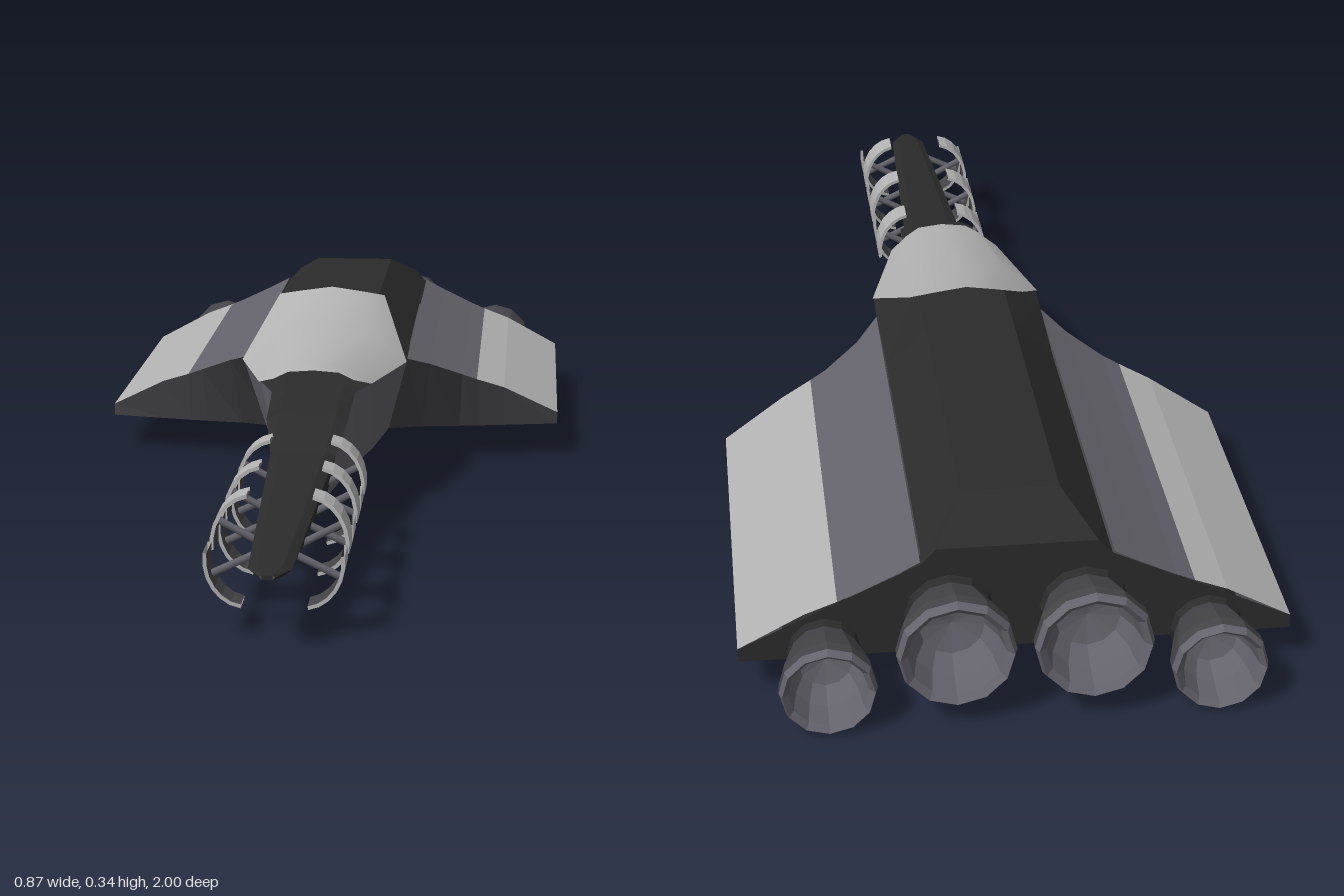
import * as THREE from 'three';
import { mergeVertices } from 'three/addons/utils/BufferGeometryUtils.js';

const mat = (name, color) => {
  const m = new THREE.MeshStandardMaterial({ color, side: THREE.DoubleSide });
  m.name = name;
  return m;
};

// Faceted skin through rows of points
const skin = (rows) => {
  const pos = [];
  for (let i = 0; i < rows.length - 1; i++) {
    for (let j = 0; j < rows[i].length - 1; j++) {
      const a = rows[i][j], b = rows[i][j + 1], c = rows[i + 1][j + 1], d = rows[i + 1][j];
      pos.push(...a, ...b, ...c, ...a, ...c, ...d);
    }
  }
  const g = new THREE.BufferGeometry();
  g.setAttribute('position', new THREE.Float32BufferAttribute(pos, 3));
  g.computeVertexNormals();
  return g;
};
const flip = (row) => row.map(([x, y, z]) => [-x, y, z]).reverse();

export function createModel() {
  const group = new THREE.Group();
  const dark = mat('charcoal', 0x2b2b2b);
  const slate = mat('slate', 0x454448);
  const violet = mat('violet grey', 0x64626b);
  const light = mat('light grey', 0xb3b3b3);

  const add = (name, geometry, material) => {
    const mesh = new THREE.Mesh(geometry, material);
    mesh.name = name;
    group.add(mesh);
    return mesh;
  };

  // One skin on each side
  const panel = (name, rows, material) => {
    add(name + 'Left', skin(rows), material);
    add(name + 'Right', skin(rows.map(flip)), material);
  };

  // Fuselage stations: z, top half width, top y, side x, side y, bottom x, bottom y, bottom z
  const hull = [
    [1.0, 0.008, 0.130, 0.012, 0.127, 0.008, 0.123, 1.0],
    [0.96, 0.020, 0.135, 0.033, 0.128, 0.020, 0.116, 0.96],
    [0.43, 0.038, 0.172, 0.055, 0.166, 0.040, 0.094, 0.43],
    [0.35, 0.048, 0.217, 0.070, 0.207, 0.048, 0.089, 0.35],
    [0.235, 0.050, 0.235, 0.073, 0.228, 0.058, 0.082, 0.235],
    [0.18, 0.054, 0.242, 0.098, 0.234, 0.064, 0.079, 0.18],
    [0.00, 0.070, 0.262, 0.150, 0.235, 0.090, 0.070, 0.00],
    [-0.06, 0.078, 0.288, 0.150, 0.230, 0.110, 0.067, -0.17],
    [-0.24, 0.078, 0.290, 0.147, 0.226],
    [-0.78, 0.078, 0.290, 0.147, 0.226],
    [-0.88, 0.125, 0.250, 0.147, 0.226],
  ];
  const fore = hull.slice(0, 8);
  const sides = (list) => list.map(([z, , , sx, sy, bx, by, bz]) => [[sx, sy, z], [bx, by, bz]]);
  panel('fuselageTop', hull.map(([z, tx, ty, sx, sy]) => [[0, ty, z], [tx, ty, z], [sx, sy, z]]), dark);
  panel('noseSide', sides(fore.slice(0, 3)), dark);
  panel('cheekPanel', sides(fore.slice(2)), violet);
  panel('noseBottom', fore.map(([, , , , , bx, by, bz]) => [[bx, by, bz], [0, by, bz]]), slate);
  panel('noseTip', [[[0, 0.123, 1], [0.008, 0.123, 1]], [[0, 0.130, 1], [0.008, 0.130, 1]]], dark);

  // Wing stations: x, top y, leading z at top, bottom x, leading z at bottom
  const floor = 0.067, back = -0.88;
  const wing = [
    [0.150, 0.228, -0.06, 0.110, -0.17],
    [0.190, 0.207, -0.115, 0.175, -0.19],
    [0.250, 0.178, -0.160, 0.245, -0.20],
    [0.278, 0.166, -0.172, 0.278, -0.205],
    [0.330, 0.146, -0.195, 0.330, -0.215],
    [0.433, 0.090, -0.232, 0.433, -0.235],
  ];
  const wingTop = wing.map(([x, y, zt]) => [[x, y, back], [x, y, zt]]);
  panel('wingInnerTop', wingTop.slice(0, 4), violet);
  panel('wingOuterTop', wingTop.slice(3), light);
  panel('wingFront', wing.map(([x, y, zt, bx, zb]) => [[x, y, zt], [bx, floor, zb]]), slate);
  panel('wingBottom', [[0, 0, 0, 0, -0.17], ...wing].map(([, , , bx, zb]) => [[bx, floor, zb], [bx, floor, back]]), slate);
  panel('wingTip', [
    [[0.433, 0.09, back], [0.433, 0.09, -0.232]],
    [[0.433, floor, back], [0.433, floor, -0.235]],
  ].map((row) => row.reverse()).reverse().map((row) => row.reverse()), violet);
  const rear = [[0, 0.25], [0.125, 0.25], [0.147, 0.226], [0.433, 0.09]];
  panel('rearWall', rear.map(([x, y]) => [[x, floor, back], [x, y, back]]), dark);

  // Raised shield over the front of the fuselage, smooth across its crown
  const crown = [
    [[0, 0.268, 0.235], [0.045, 0.264, 0.232], [0.070, 0.250, 0.225]],
    [[0, 0.275, 0.200], [0.060, 0.268, 0.200], [0.100, 0.237, 0.195]],
    [[0, 0.307, 0.000], [0.085, 0.290, 0.000], [0.152, 0.235, 0.000]],
    [[0, 0.340, -0.180], [0.050, 0.333, -0.180], [0.100, 0.325, -0.180]],
  ];
  const shield = skin(crown.map((row) => [...flip(row).slice(0, 2), ...row]));
  shield.deleteAttribute('normal');
  const smoothShield = mergeVertices(shield);
  smoothShield.computeVertexNormals();
  add('shield', smoothShield, light);

  // Four engines: housing, domed front and hollow bell
  for (const s of [1, -1]) {
    for (const [x, y, r] of [[0.105, 0.133, 0.092], [0.3, 0.079, 0.075]]) {
      const lathe = (name, pts, material) => {
        const g = new THREE.LatheGeometry(pts.map(([a, h]) => new THREE.Vector2(a * r, h)), 12)
          .rotateX(-Math.PI / 2).toNonIndexed();
        g.computeVertexNormals();
        add(name, g, material).position.set(s * x, y, 0);
      };
      lathe('engineHousing', [[0.72, 0.80], [0.82, 0.81], [0.80, 0.87], [0.70, 0.90]], dark);
      lathe('engineDome', [[0, 0.785], [0.45, 0.79], [0.72, 0.80]], violet);
      lathe('engineBell', [[0.70, 0.89], [0.82, 0.92], [0.99, 0.965], [1, 0.985]], slate);
      lathe('engineNozzle', [[1, 0.985], [0.94, 1.0], [0.82, 0.99], [0.74, 0.95], [0.55, 0.915], [0, 0.905]], violet);
    }
  }

  // Curved claws along the nose, alternating high and low
  for (let k = 0; k < 6; k++) {
    const z = 0.45 + k * 0.086;
    const up = k % 2 === 0 ? 1 : -1;
    const steps = [0, 1, 2, 3, 4, 5, 6];
    const point = (i, inset, side) => {
      const t = THREE.MathUtils.degToRad(-8 + i * 15);
      const w = 0.031 - 0.008 * (i / 6);
      return [0.042 + (0.066 - inset) * Math.cos(t), 0.124 + up * (0.078 - inset) * Math.sin(t), z + side * up * w];
    };
    const thick = 0.006;
    panel('clawOuter', steps.map((i) => [point(i, 0, 1), point(i, 0, -1)]), light);
    panel('clawInner', steps.map((i) => [point(i, thick, -1), point(i, thick, 1)]), slate);
    for (const e of [1, -1]) {
      const rim = steps.map((i) => [point(i, thick, e), point(i, 0, e)]);
      panel('clawEdge', e > 0 ? rim : rim.reverse(), light);
    }
    for (const s of [1, -1]) {
      const from = new THREE.Vector3(s * 0.015, 0.122 - up * 0.012, z);
      const to = new THREE.Vector3(s * 0.098, 0.124 + up * 0.03, z);
      const dir = to.clone().sub(from);
      const strut = add('clawStrut', new THREE.CylinderGeometry(0.006, 0.006, dir.length(), 6), violet);
      strut.position.copy(from).addScaledVector(dir, 0.5);
      strut.quaternion.setFromUnitVectors(new THREE.Vector3(0, 1, 0), dir.normalize());
    }
  }

  return group;
}
